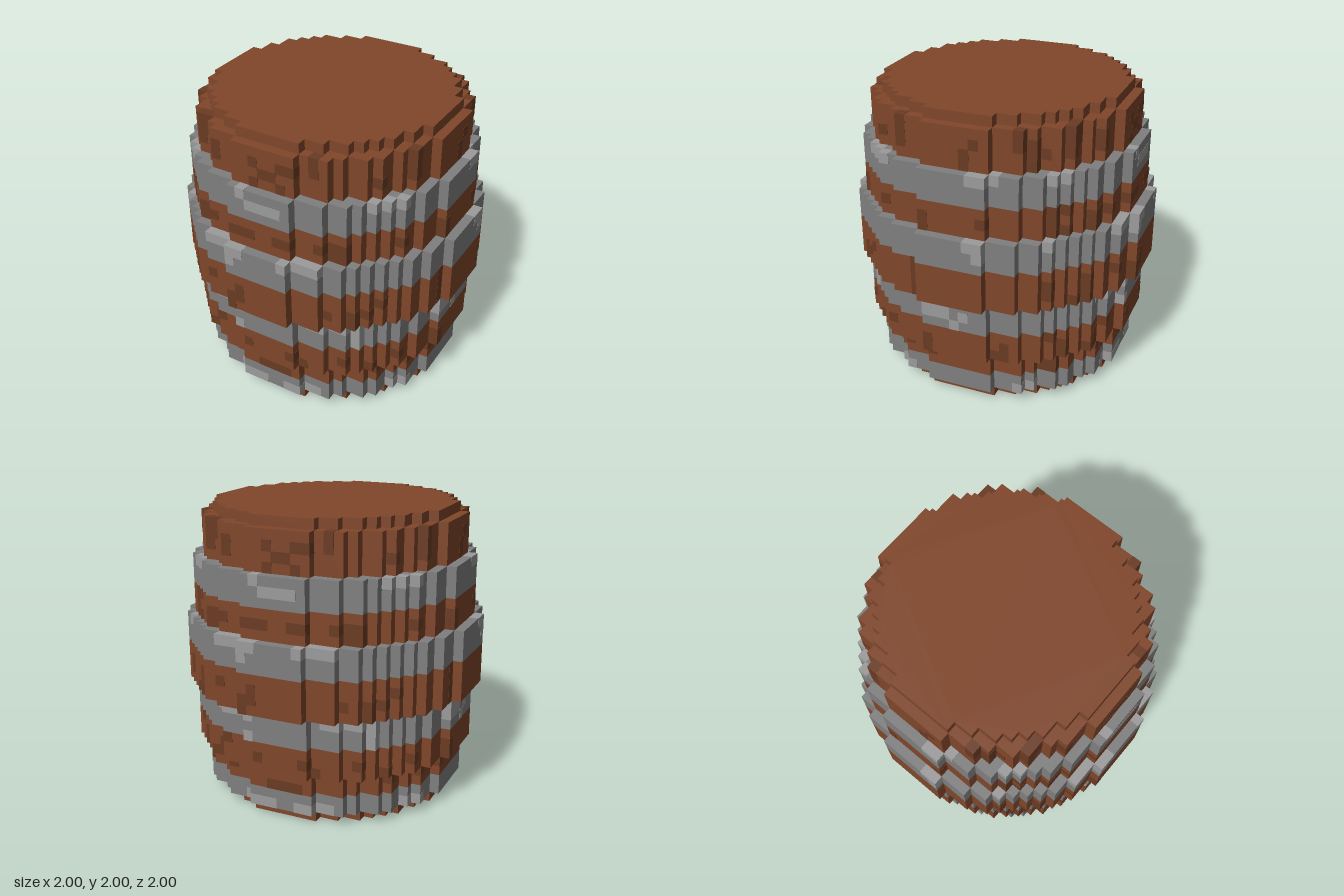
import * as THREE from 'three';
import { mergeGeometries } from 'three/addons/utils/BufferGeometryUtils.js';

// One block of the grid: 31 across, 29 high
const CELL = 2 / 31, ROW = 2 / 29;

const mat = (color) => new THREE.MeshStandardMaterial({ color, flatShading: true });

// Layers from the ground up: [name, rows high, radius in cells]
const LAYERS = [
  ['bottomRim', 1, 12], ['bottomHoop', 2, 13], ['lowerStaves', 2, 13], ['lowerMiddleStaves', 3, 14],
  ['lowerHoop', 3, 14], ['middleStaves', 4, 15], ['middleHoop', 3, 15], ['upperMiddleStaves', 3, 14],
  ['upperHoop', 3, 14], ['upperStaves', 4, 13], ['topRim', 1, 12],
];

// Blotches on two sides: [row, first column, last column]
const FRONT_DARK = [
  [27, -8, -8], [26, -12, -12], [26, -8, -8], [27, 5, 5], [26, 5, 5], [26, -1, -1], [26, 2, 2], [25, 0, 1],
  [25, -6, -6], [25, 10, 10], [24, -11, -11], [24, -1, -1], [24, 2, 2],
  [20, -10, -10], [19, -14, -14], [19, -11, -11], [19, -8, -6], [19, -2, -1], [19, 2, 3], [19, 7, 8], [19, 12, 12],
  [18, -10, -10], [18, -8, -7], [18, 7, 8], [18, 14, 14],
  [13, -9, -9], [13, -6, -6], [13, -2, -2], [13, 11, 11], [12, -9, -9], [12, -3, -2], [12, 7, 7], [12, 9, 10],
  [11, -10, -9], [11, -3, -3], [11, 9, 9],
  [7, -6, -6], [6, -10, -10], [6, -7, -7], [6, -2, -2], [6, 3, 3], [6, 12, 12], [5, -10, -10], [5, -7, -7], [5, 4, 4],
  [4, -10, -10], [4, 12, 12], [3, -1, 2],
];
const FRONT_LIGHT = [
  [23, -11, -10], [23, -2, -2], [23, 10, 12], [22, -1, 2], [17, -15, -15], [17, -6, -2], [17, 3, 6],
  [16, -15, -15], [16, -3, -3], [10, -7, -4], [10, 5, 9], [10, 14, 14], [9, 9, 9], [9, 14, 14], [8, 9, 9],
  [1, -12, -11], [1, -4, -1], [1, 2, 5], [1, 11, 12],
];
const SIDE_DARK = [
  [27, 6, 6], [26, 6, 6], [25, 6, 6], [26, 13, 13], [26, -2, -2], [25, -1, -1], [24, -1, -1], [27, -6, -6],
  [26, -7, -6], [25, -8, -7], [27, -10, -10], [26, -10, -10], [25, -10, -10], [26, -12, -12],
  [20, -9, -9], [19, -9, -9], [18, -9, -9], [19, 13, 13], [19, 3, 3], [18, 3, 3], [19, -14, -14],
  [14, 4, 4], [13, 4, 4], [12, 4, 4], [11, 4, 4], [13, 10, 10], [12, 11, 11], [13, -9, -9], [12, -9, -9], [11, -11, -11],
  [7, -9, -9], [6, 12, 12], [6, 3, 3], [6, -5, -5], [5, 10, 10], [5, 3, 3], [5, -5, -4], [5, -12, -12],
  [4, 9, 9], [4, 3, 3], [4, -8, -8], [4, -12, -12], [3, -9, -8],
];
const SIDE_LIGHT = [
  [23, 8, 10], [23, -4, -2], [17, 14, 15], [17, -2, -2], [17, -9, -9], [17, -15, -14], [16, -3, -3],
  [10, 11, 13], [10, 1, 3], [10, -14, -14], [9, 11, 11], [9, 1, 3], [9, -1, -1], [8, 11, 11], [8, 0, 0],
  [8, -14, -14], [1, 13, 13], [1, 6, 7],
];

// Outermost filled cell of a blocky disc in line j
const reach = (R, j) => Math.floor(Math.sqrt((R + 0.5) ** 2 - j * j));

// Stepped circular slab
function slabGeometry(R, rows) {
  const right = [];
  for (let j = -R; j <= R; j++) {
    const x = (reach(R, j) + 0.5) * CELL;
    if (j > -R && reach(R, j) === reach(R, j - 1)) right.pop();
    else right.push(new THREE.Vector2(x, (j - 0.5) * CELL));
    right.push(new THREE.Vector2(x, (j + 0.5) * CELL));
  }
  const left = right.map((p) => new THREE.Vector2(-p.x, p.y)).reverse();
  const shape = new THREE.Shape([...right, ...left]);
  return new THREE.ExtrudeGeometry(shape, { depth: rows * ROW, bevelEnabled: false }).rotateX(-Math.PI / 2);
}

// Radius of the layer that holds a given row
function radiusAt(row) {
  let top = 0;
  return LAYERS.find(([, rows]) => row < (top += rows))[2];
}

// Single blocks set barely proud of the surface, repeated on the opposite side
function blotches(name, material, front, side) {
  const parts = [];
  const add = (row, x, z) => {
    for (const s of [1, -1]) {
      parts.push(new THREE.BoxGeometry(CELL + 0.003, ROW + 0.003, CELL + 0.003)
        .translate(s * x * CELL, (row + 0.5) * ROW, s * z * CELL));
    }
  };
  for (const [row, a, b] of front) {
    for (let i = a; i <= b; i++) add(row, i, reach(radiusAt(row), i));
  }
  for (const [row, a, b] of side) {
    for (let i = a; i <= b; i++) add(row, reach(radiusAt(row), i), i);
  }
  const mesh = new THREE.Mesh(mergeGeometries(parts), material);
  mesh.name = name;
  return mesh;
}

export function createModel() {
  const barrel = new THREE.Group();
  barrel.name = 'barrel';
  const wood = mat(0x80462a), iron = mat(0x7f7f7f);

  // Staves and hoops stacked from the ground up
  let y = 0;
  for (const [name, rows, R] of LAYERS) {
    const layer = new THREE.Mesh(slabGeometry(R, rows), name.endsWith('Hoop') ? iron : wood);
    layer.name = name;
    layer.position.y = y;
    barrel.add(layer);
    y += rows * ROW;
  }

  // Dark grain on the wood, worn spots on the iron
  barrel.add(blotches('woodGrain', mat(0x6a3b23), FRONT_DARK, SIDE_DARK));
  barrel.add(blotches('ironWear', mat(0x9b9b9b), FRONT_LIGHT, SIDE_LIGHT));
  return barrel;
}
